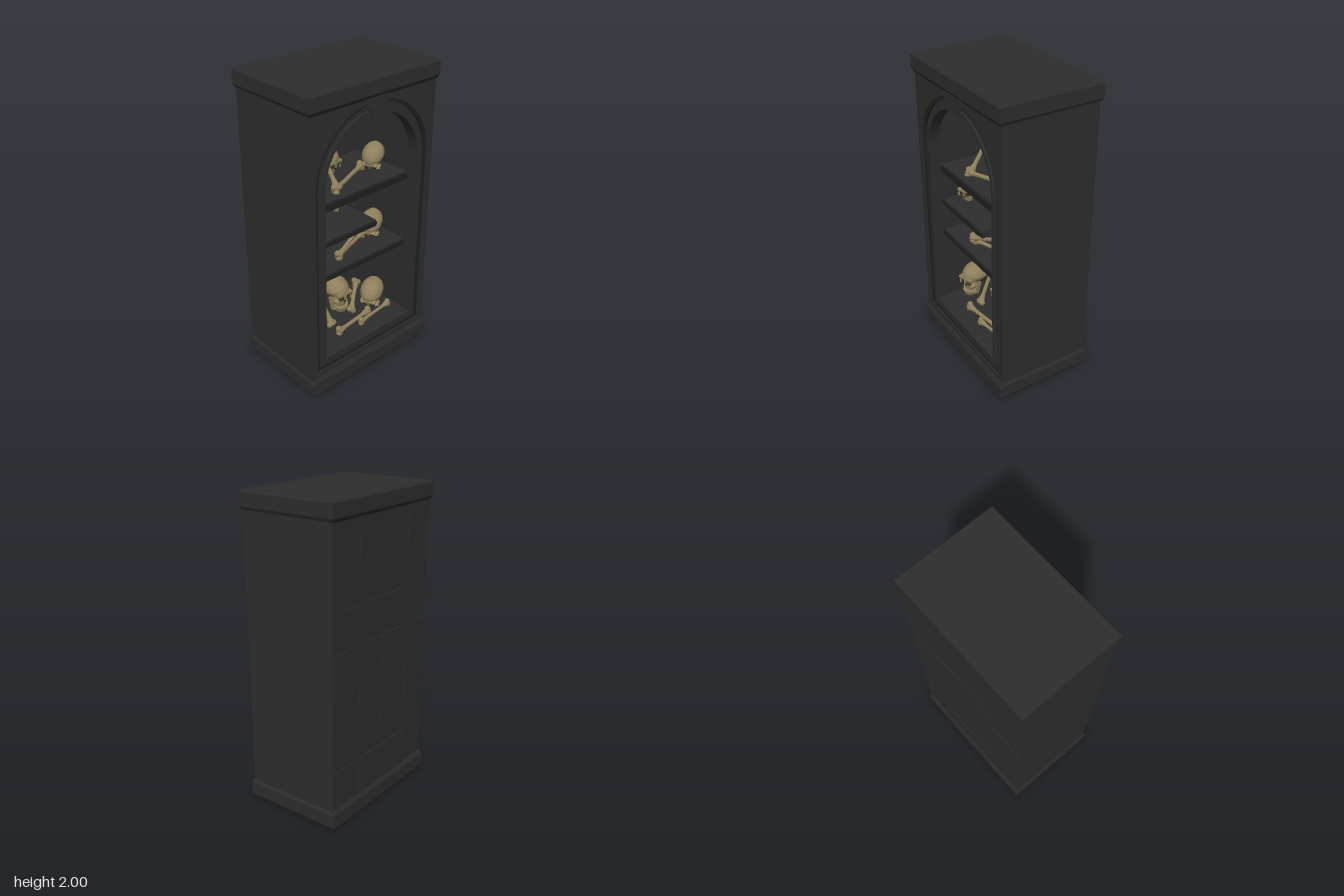
import * as THREE from 'three';

const mat = (name, color, extra = {}) => {
  const m = new THREE.MeshStandardMaterial({ color, ...extra });
  m.name = name;
  return m;
};

export function createModel() {
  const root = new THREE.Group();
  root.name = 'boneAlcove';
  const stone = mat('darkStone', 0x2d2d2d, { flatShading: true });
  const edge = mat('shadowedStone', 0x212121, { flatShading: true });
  const bone = mat('oldBone', 0x8e7f5b, { flatShading: true });
  const socket = mat('socketBrown', 0x3b3324, { flatShading: true });

  const add = (name, geo, material, x = 0, y = 0, z = 0, parent = root) => {
    const m = new THREE.Mesh(geo, material);
    m.name = name;
    m.position.set(x, y, z);
    parent.add(m);
    return m;
  };
  // Box given by its limits
  const block = (name, x0, x1, y0, y1, z0, z1, material = stone) =>
    add(name, new THREE.BoxGeometry(x1 - x0, y1 - y0, z1 - z0), material,
      (x0 + x1) / 2, (y0 + y1) / 2, (z0 + z1) / 2);
  // Slab whose top and bottom faces may differ in size
  const slab = (name, y0, y1, bw, bd, tw, td, material = stone) => {
    const g = new THREE.BoxGeometry(1, y1 - y0, 1);
    const p = g.attributes.position;
    for (let i = 0; i < p.count; i++) {
      const top = p.getY(i) > 0;
      p.setX(i, p.getX(i) * (top ? tw : bw));
      p.setZ(i, p.getZ(i) * (top ? td : bd));
    }
    g.computeVertexNormals();
    return add(name, g, material, 0, (y0 + y1) / 2, 0);
  };

  // Plinth and cornice
  slab('plinthFoot', 0, 0.015, 0.995, 0.67, 1.01, 0.68);
  slab('plinth', 0.015, 0.1, 1.01, 0.68, 1.01, 0.68);
  slab('plinthSlope', 0.1, 0.13, 1.01, 0.68, 0.98, 0.655);
  slab('corniceSlope', 1.88, 1.905, 0.985, 0.65, 1.01, 0.68);
  slab('cornice', 1.905, 1.988, 1.01, 0.68, 1.01, 0.68);
  slab('corniceTop', 1.988, 2, 1.01, 0.68, 0.995, 0.665);

  // Walls around a square-topped cavity
  for (const s of [-1, 1]) {
    const [a, b] = s < 0 ? [-0.495, -0.38] : [0.38, 0.495];
    block('sideWall', a, b, 0.1, 1.9, -0.322, 0.24);
  }
  block('backWall', -0.38, 0.38, 0.1, 1.9, -0.322, -0.235);
  block('cavityFloor', -0.38, 0.38, 0.1, 0.24, -0.24, 0.24);
  block('cavityCeiling', -0.38, 0.38, 1.84, 1.9, -0.24, 0.24);

  // Arched front, made as stepped frames
  const archY = 1.41;
  const arch = (r, bottom, C) => {
    const s = new C();
    s.moveTo(-r, bottom);
    s.lineTo(r, bottom);
    s.lineTo(r, archY);
    s.absarc(0, archY, r, 0, Math.PI, false);
    s.lineTo(-r, bottom);
    return s;
  };
  const frame = (name, shape, r, bottom, z0, z1, material = stone) => {
    shape.holes.push(arch(r, bottom, THREE.Path));
    add(name, new THREE.ExtrudeGeometry(shape,
      { depth: z1 - z0, bevelEnabled: false, curveSegments: 20 }), material, 0, 0, z0);
  };
  const face = new THREE.Shape([[-0.495, 0.1], [0.495, 0.1], [0.495, 1.9], [-0.495, 1.9]]
    .map(([x, y]) => new THREE.Vector2(x, y)));
  frame('frontFace', face, 0.452, 0.165, 0.24, 0.322);
  frame('archReveal', arch(0.453, 0.164, THREE.Shape), 0.372, 0.24, 0.24, 0.3);
  frame('outerBead', arch(0.452, 0.166, THREE.Shape), 0.432, 0.185, 0.3, 0.313, edge);
  frame('innerBead', arch(0.395, 0.225, THREE.Shape), 0.372, 0.24, 0.3, 0.314);

  // Keystone
  const key = new THREE.Shape([[-0.035, 1.77], [0.035, 1.77], [0.05, 1.83], [0.1, 1.85],
    [0.1, 1.885], [-0.1, 1.885], [-0.1, 1.85], [-0.05, 1.83]].map(([x, y]) => new THREE.Vector2(x, y)));
  add('keystone', new THREE.ExtrudeGeometry(key, { depth: 0.07, bevelEnabled: false }), stone, 0, 0, 0.262);

  // Shelves with dark front lips; the middle one is snapped off
  for (const [y0, y1, x1] of [[1.215, 1.275, 0.38], [0.975, 1.02, 0.12], [0.735, 0.785, 0.38]]) {
    block('shelf', -0.38, x1, y0, y1, -0.24, 0.225);
    block('shelfLip', -0.38, x1, y0 + 0.008, y1 - 0.008, 0.225, 0.233, edge);
  }
  const stub = add('brokenShelfEnd', new THREE.ConeGeometry(0.03, 0.05, 4), edge, 0.125, 0.998, 0.12);
  stub.rotation.z = -Math.PI / 2;

  // Shallow stone courses on the back, outside and inside
  const rows = 7, h = 1.75 / rows;
  for (let r = 0; r < rows; r++) {
    const cuts = r % 2 ? [-0.49, 0, 0.49] : [-0.49, -0.26, 0.24, 0.49];
    for (let i = 0; i + 1 < cuts.length; i++) {
      const proud = 0.003 + 0.004 * ((r * 5 + i * 3) % 4) / 3;
      const y = 0.13 + r * h;
      block('backStone', cuts[i] + 0.003, cuts[i + 1] - 0.003, y + 0.003, y + h - 0.003, -0.322 - proud, -0.32);
      const a = Math.max(cuts[i], -0.38), b = Math.min(cuts[i + 1], 0.38);
      if (r > 0) block('innerStone', a + 0.003, b - 0.003, y, y + h - 0.005, -0.236, -0.235 + proud);
    }
  }

  // Long bone between two points, knobbed at both ends
  const longBone = (a, b, t = 1) => {
    const A = new THREE.Vector3(...a), B = new THREE.Vector3(...b);
    const L = A.distanceTo(B), g = new THREE.Group();
    g.name = 'longBone';
    const profile = [[0, 0], [0.024, 0.004], [0.023, 0.03], [0.014, 0.07], [0.013, L / 2],
      [0.014, L - 0.07], [0.023, L - 0.03], [0.024, L - 0.004], [0, L]]
      .map(([r, y]) => new THREE.Vector2(r * t, y));
    add('shaft', new THREE.LatheGeometry(profile, 7), bone, 0, 0, 0, g);
    for (const y of [0.012, L - 0.012]) for (const s of [-1, 1])
      add('knuckle', new THREE.IcosahedronGeometry(0.021 * t, 1), bone, s * 0.017 * t, y, 0, g);
    g.position.copy(A);
    g.quaternion.setFromUnitVectors(new THREE.Vector3(0, 1, 0), B.sub(A).normalize());
    root.add(g);
  };

  // Skull facing +z, about 0.15 wide
  const skull = (x, y, z, turn, tilt, size, jaw) => {
    const g = new THREE.Group();
    g.name = 'skull';
    const dome = new THREE.IcosahedronGeometry(1, 2), p = dome.attributes.position;
    for (let i = 0; i < p.count; i++) {
      const v = new THREE.Vector3().fromBufferAttribute(p, i);
      const pinch = v.y < 0 ? 1 + v.y * 0.3 : 1;
      p.setXYZ(i, v.x * 0.073 * pinch, v.y * (v.y < 0 ? 0.06 : 0.07), v.z * 0.095 * pinch - 0.012);
    }
    dome.computeVertexNormals();
    add('cranium', dome, bone, 0, 0, 0, g);
    // Upper face, narrowing to the teeth
    const snout = add('upperFace', new THREE.CylinderGeometry(0.056, 0.034, 0.085, 8), bone, 0, -0.047, 0.038, g);
    snout.scale.z = 0.75;
    add('brow', new THREE.BoxGeometry(0.1, 0.014, 0.03), bone, 0, -0.006, 0.07, g);
    add('noseBridge', new THREE.BoxGeometry(0.014, 0.03, 0.02), bone, 0, -0.025, 0.075, g);
    const nose = add('noseHole', new THREE.CylinderGeometry(0.011, 0.011, 0.008, 3), socket, 0, -0.05, 0.073, g);
    nose.rotation.x = Math.PI / 2;
    for (const s of [-1, 1]) {
      const eye = add('eyeSocket', new THREE.CylinderGeometry(0.017, 0.017, 0.009, 8), socket, s * 0.026, -0.026, 0.074, g);
      eye.rotation.set(Math.PI / 2, 0, -s * 0.3);
      const cheek = add('cheekbone', new THREE.IcosahedronGeometry(0.018, 0), bone, s * 0.047, -0.045, 0.052, g);
      cheek.scale.z = 1.7;
      if (jaw) {
        const side = add('jawSide', new THREE.BoxGeometry(0.013, 0.075, 0.035), bone, s * 0.045, -0.078, 0.02, g);
        side.rotation.x = -0.35;
      }
    }
    if (jaw) add('chin', new THREE.CylinderGeometry(0.045, 0.034, 0.028, 8), bone, 0, -0.112, 0.04, g);
    g.position.set(x, y, z);
    g.rotation.set(tilt, turn, 0, 'YXZ');
    g.scale.setScalar(size);
    root.add(g);
  };

  // Top shelf
  skull(-0.02, 1.39, -0.08, 0.1, 0.1, 1, false);
  skull(0.28, 1.345, 0.02, -1.1, 0.55, 0.98, false);
  longBone([-0.14, 1.29, 0.155], [-0.15, 1.585, -0.04]);
  longBone([-0.17, 1.295, 0.16], [0.2, 1.295, 0]);
  // Broken shelf
  skull(-0.305, 1.11, 0.06, 0.45, 0.05, 0.98, false);
  longBone([-0.14, 1.1, -0.01], [0.03, 1.035, -0.04], 0.9);
  // Lower shelf
  skull(0.28, 0.855, 0.02, -1.1, 0.55, 1.02, false);
  longBone([-0.14, 0.82, 0.155], [0.12, 0.91, 0.08]);
  longBone([0.13, 0.97, 0.06], [0.08, 0.86, 0.06], 0.9);
  longBone([-0.13, 0.805, 0.14], [0.2, 0.805, 0.02], 0.9);
  // Floor
  skull(-0.3, 0.405, 0.05, 0.25, 0, 1.15, true);
  skull(0.01, 0.43, -0.03, 0, 0, 1.2, true);
  skull(0.27, 0.32, 0.05, -1.1, 0.5, 1.1, false);
  longBone([-0.14, 0.26, 0.1], [-0.175, 0.56, -0.05]);
  longBone([0.05, 0.27, 0.08], [0.19, 0.42, -0.02]);
  longBone([-0.16, 0.26, 0.18], [0.16, 0.262, 0.14]);
  longBone([0.02, 0.26, 0.2], [0.33, 0.26, 0.16], 0.85);

  return root;
}
